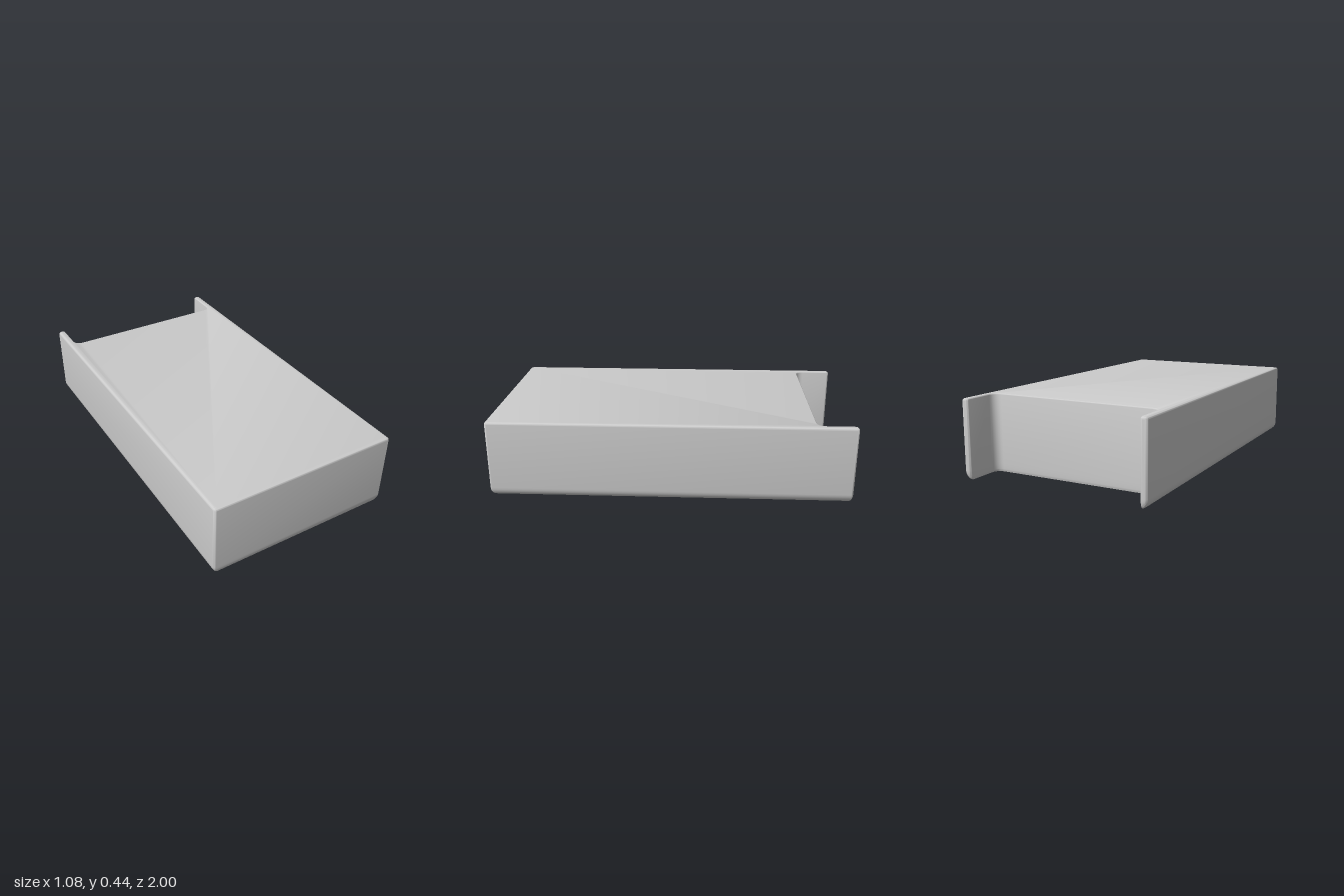
import * as THREE from 'three';
import { mergeGeometries, toCreasedNormals } from 'three/addons/utils/BufferGeometryUtils.js';

const HALF_W = 0.54, HEIGHT = 0.435, INNER_X = 0.5, BACK = 0.785, RECESS = 0.008;
const STEPS = 6;

// Plan polygon (x, -z) with axis-aligned sides and rounded corners [x, v, radius]
function roundedOutline(corners) {
  const pts = [], n = corners.length;
  corners.forEach(([x, v, r], i) => {
    const p = new THREE.Vector2(x, v);
    const prev = corners[(i + n - 1) % n], next = corners[(i + 1) % n];
    const dIn = p.clone().sub(new THREE.Vector2(prev[0], prev[1])).normalize();
    const dOut = new THREE.Vector2(next[0], next[1]).sub(p).normalize();
    const centre = p.clone().addScaledVector(dIn, -r).addScaledVector(dOut, r);
    for (let k = 0; k <= STEPS; k++) {
      const a = (k / STEPS) * Math.PI / 2;
      pts.push(centre.clone().addScaledVector(dOut, -r * Math.cos(a)).addScaledVector(dIn, r * Math.sin(a)));
    }
  });
  return pts;
}

// Body plan: a block with two side fins at the back, inset at sides, ends and inner faces
function bodyOutline(side, end, inner) {
  const w = HALF_W - side, l = 1 - end, ix = INNER_X + inner, b = BACK - inner;
  const tip = Math.min(0.014, (w - ix) * 0.45);
  return roundedOutline([
    [-w, -l, 0.014], [w, -l, 0.014], [w, l, tip], [ix, l, tip],
    [ix, b, 0.045], [-ix, b, 0.045], [-ix, l, tip], [-w, l, tip]
  ]);
}

function panelOutline(sign, inset) {
  const a = 0.075 + inset, b = 0.45 - inset, r = 0.05 - inset;
  const x0 = sign > 0 ? a : -b, x1 = sign > 0 ? b : -a;
  const v0 = -0.94 + inset, v1 = 0.16 - inset;
  return roundedOutline([[x0, v0, r], [x1, v0, r], [x1, v1, r], [x0, v1, r]]);
}

// Wall through matching rings, listed from low to high
function loft(rings) {
  const pos = [], index = [], n = rings[0].pts.length;
  rings.forEach(({ y, pts }) => pts.forEach(p => pos.push(p.x, y, -p.y)));
  for (let j = 0; j < rings.length - 1; j++) {
    for (let i = 0; i < n; i++) {
      const a = j * n + i, b = j * n + (i + 1) % n;
      index.push(a, b, b + n, a, b + n, a + n);
    }
  }
  const g = new THREE.BufferGeometry();
  g.setAttribute('position', new THREE.Float32BufferAttribute(pos, 3));
  g.setIndex(index);
  return g;
}

// Flat face at height y, facing up or down
function cap(pts, y, down, holes = []) {
  const shape = new THREE.Shape(pts);
  shape.holes = holes.map(h => new THREE.Path(h));
  const g = new THREE.ShapeGeometry(shape);
  g.rotateX(-Math.PI / 2).translate(0, y, 0);
  if (down) g.setIndex(Array.from(g.index.array).reverse());
  g.deleteAttribute('uv');
  g.deleteAttribute('normal');
  return g;
}

function finish(parts, name, material) {
  const g = mergeGeometries(parts.map(p => p.toNonIndexed()));
  g.computeVertexNormals();
  const mesh = new THREE.Mesh(toCreasedNormals(g, 0.6), material);
  mesh.name = name;
  return mesh;
}

export function createModel() {
  const group = new THREE.Group();
  group.name = 'finnedBlock';
  const material = new THREE.MeshStandardMaterial({ color: 0xcccccc });

  // Rings: large rounding along the bottom sides, small rounding elsewhere
  const rings = [];
  for (let k = 0; k <= STEPS; k++) {
    const a = (k / STEPS) * Math.PI / 2, f = 1 - Math.sin(a);
    rings.push({ y: 0.05 * (1 - Math.cos(a)), pts: bodyOutline(0.036 * f, 0.02 * f, 0.003 * f) });
  }
  for (let k = 0; k <= STEPS; k++) {
    const a = (k / STEPS) * Math.PI / 2, f = 1 - Math.cos(a);
    rings.push({ y: HEIGHT - 0.013 * (1 - Math.sin(a)), pts: bodyOutline(0.013 * f, 0.013 * f, 0.006 * f) });
  }

  const holes = [-1, 1].map(s => panelOutline(s, 0));
  group.add(finish([
    loft(rings),
    cap(rings[0].pts, 0, true, holes),
    cap(rings[rings.length - 1].pts, HEIGHT, false)
  ], 'body', material));

  // Two shallow recesses in the underside
  for (const s of [-1, 1]) {
    const rim = panelOutline(s, 0), floor = panelOutline(s, 0.008);
    group.add(finish([
      loft([{ y: 0, pts: [...rim].reverse() }, { y: RECESS, pts: [...floor].reverse() }]),
      cap(floor, RECESS, true)
    ], s > 0 ? 'leftFootRecess' : 'rightFootRecess', material));
  }
  return group;
}
